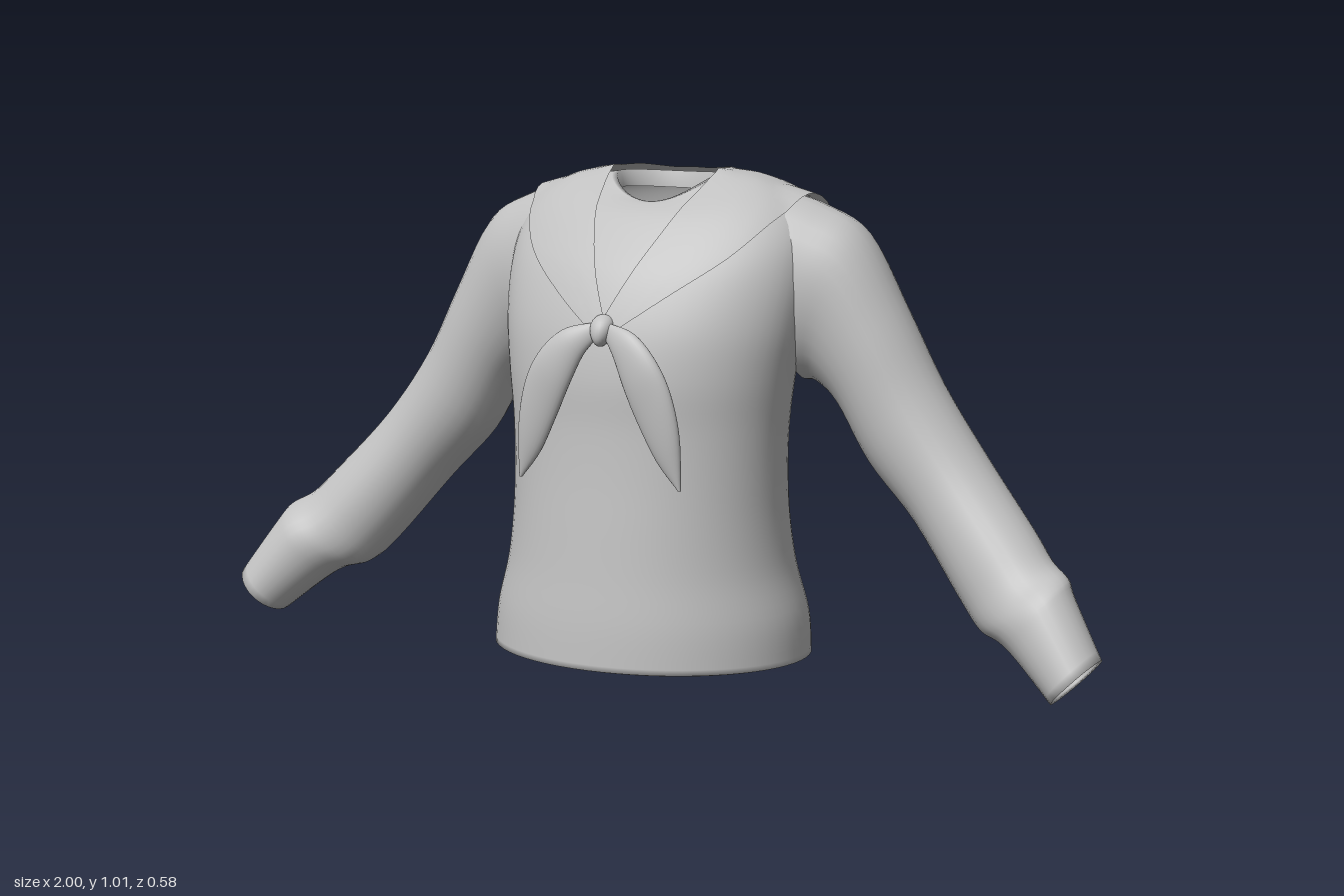
import * as THREE from 'three';

const cloth = new THREE.MeshStandardMaterial({ color: 0xc0c0c0, side: THREE.DoubleSide });
cloth.name = 'greyCloth';

// Smooth interpolation through a list of equal-length number arrays, t in 0..1
function interp(keys, t) {
  const n = keys.length - 1;
  const i = Math.min(Math.floor(t * n), n - 1);
  const f = t * n - i;
  const k = (j) => keys[Math.max(0, Math.min(n, j))];
  return k(i).map((p1, c) => {
    const p0 = k(i - 1)[c], p2 = k(i + 1)[c], p3 = k(i + 2)[c];
    return p1 + 0.5 * f * (p2 - p0 + f * (2 * p0 - 5 * p1 + 4 * p2 - p3 + f * (3 * (p1 - p2) + p3 - p0)));
  });
}

function resample(keys, steps) {
  return Array.from({ length: steps + 1 }, (_, i) => interp(keys, i / steps));
}

// Skin over rows of points; closed rows wrap around
function skin(rows, closed) {
  const w = rows[0].length;
  const index = [];
  for (let r = 0; r < rows.length - 1; r++) {
    for (let c = 0; c < (closed ? w : w - 1); c++) {
      const a = r * w + c, b = r * w + ((c + 1) % w);
      index.push(a, b, a + w, b, b + w, a + w);
    }
  }
  const geo = new THREE.BufferGeometry();
  geo.setAttribute('position', new THREE.Float32BufferAttribute(rows.flat(2), 3));
  geo.setIndex(index);
  geo.computeVertexNormals();
  return geo;
}

function ring(count, fn) {
  return Array.from({ length: count }, (_, i) => {
    const a = (i / count) * Math.PI * 2;
    return fn(Math.sin(a), Math.cos(a));
  });
}

// Torso ring: half width, front z, back z, front y, side y, back y
function torsoRing([hw, zf, zb, yf, ys, yb]) {
  const mid = (zf + zb) / 2, half = (zf - zb) / 2;
  return ring(64, (s, c) => [hw * s, ys + ((c > 0 ? yf : yb) - ys) * c * c, mid + half * c]);
}

// Oval section between two edge points in x,y, with z centre and half depth
function ovalRing([x1, y1, x2, y2, zc, zh]) {
  return ring(28, (s, c) => [(x1 + x2) / 2 + ((x1 - x2) / 2) * c, (y1 + y2) / 2 + ((y1 - y2) / 2) * c, zc + zh * s]);
}

function add(group, name, geo) {
  const mesh = new THREE.Mesh(geo, cloth);
  mesh.name = name;
  group.add(mesh);
  return mesh;
}

// The same part on both sides
function addPair(group, name, rows, closed) {
  add(group, 'left' + name, skin(rows, closed));
  const flipped = rows.map((row) => row.map(([x, y, z]) => [-x, y, z]).reverse());
  add(group, 'right' + name, skin(flipped, closed));
}

export function createModel() {
  const group = new THREE.Group();
  group.name = 'sailorBlouse';

  // Torso from hem to neckline
  const level = (hw, zf, zb, y) => [hw, zf, zb, y, y, y];
  const torsoKeys = [
    level(0.345, 0.29, -0.275, 0.015),
    level(0.338, 0.283, -0.272, 0.1),
    level(0.312, 0.27, -0.25, 0.2),
    level(0.3, 0.258, -0.23, 0.3),
    level(0.298, 0.246, -0.214, 0.4),
    level(0.303, 0.237, -0.205, 0.5),
    level(0.315, 0.233, -0.208, 0.6),
    level(0.33, 0.213, -0.215, 0.7),
    level(0.338, 0.17, -0.218, 0.8),
    [0.33, 0.12, -0.216, 0.87, 0.88, 0.87],
    [0.29, 0.075, -0.205, 0.92, 0.94, 0.93],
    [0.215, 0.042, -0.19, 0.94, 0.982, 0.97],
    [0.115, 0.02, -0.165, 0.945, 1.0, 0.995],
  ];
  const torsoRows = [
    [0.328, 0.272, -0.257, 0.07, 0.07, 0.07],
    [0.335, 0.28, -0.265, 0.012, 0.012, 0.012],
    ...resample(torsoKeys, 60),
    [0.11, 0.015, -0.16, 0.925, 0.965, 0.96],
  ].map(torsoRing);
  const torso = add(group, 'torso', skin(torsoRows, true));

  // Sleeves: upper edge, lower edge, depth
  const sleeveKeys = [
    [0.25, 0.972, 0.28, 0.62, -0.09, 0.125],
    [0.34, 0.945, 0.305, 0.585, -0.095, 0.12],
    [0.435, 0.89, 0.335, 0.58, -0.098, 0.108],
    [0.52, 0.74, 0.385, 0.535, -0.1, 0.102],
    [0.6, 0.59, 0.455, 0.42, -0.102, 0.1],
    [0.7, 0.45, 0.56, 0.31, -0.092, 0.097],
    [0.815, 0.32, 0.675, 0.17, -0.055, 0.096],
    [0.865, 0.265, 0.73, 0.115, -0.03, 0.093],
    [0.908, 0.238, 0.78, 0.1, -0.005, 0.088],
    [0.93, 0.205, 0.825, 0.072, 0.015, 0.08],
    [1.0, 0.095, 0.91, 0.002, 0.05, 0.072],
  ];
  const sleeveRows = [
    ...resample(sleeveKeys, 50),
    [0.99, 0.09, 0.912, 0.012, 0.049, 0.062],
    [0.93, 0.175, 0.85, 0.085, 0.02, 0.062],
  ].map(ovalRing);
  addPair(group, 'Sleeve', sleeveRows, true);

  // Collar: strips from neck edge to outer edge, running front to back
  const collarKeys = [
    [0, 0.725, 0.21, 0.005, 0.715, 0.216, 0.01, 0.705, 0.22, 0.015, 0.69, 0.225],
    [0.045, 0.82, 0.165, 0.07, 0.805, 0.173, 0.095, 0.79, 0.178, 0.12, 0.765, 0.185],
    [0.09, 0.92, 0.085, 0.13, 0.905, 0.095, 0.175, 0.88, 0.1, 0.225, 0.845, 0.11],
    [0.12, 1.005, -0.02, 0.17, 0.985, -0.01, 0.225, 0.965, -0.005, 0.29, 0.925, 0.01],
    [0.12, 1.01, -0.09, 0.18, 1.004, -0.1, 0.25, 0.982, -0.1, 0.31, 0.95, -0.1],
    [0.115, 1.01, -0.125, 0.2, 0.985, -0.165, 0.27, 0.94, -0.2, 0.31, 0.85, -0.2],
    [0.105, 1.01, -0.14, 0.19, 0.97, -0.205, 0.275, 0.85, -0.238, 0.305, 0.635, -0.235],
    [0.09, 1.008, -0.155, 0.165, 0.965, -0.212, 0.245, 0.85, -0.262, 0.27, 0.63, -0.29],
    [0.05, 1.004, -0.167, 0.09, 0.965, -0.212, 0.13, 0.85, -0.262, 0.14, 0.627, -0.283],
    [0, 1.0, -0.17, 0, 0.965, -0.21, 0, 0.85, -0.26, 0, 0.622, -0.272],
  ];
  const steps = 45;
  const caster = new THREE.Raycaster();
  const bodies = [torso, group.getObjectByName('leftSleeve')];
  const collarRows = resample(collarKeys, steps).map((k, row) => {
    const points = [0, 3, 6, 9].map((i) => k.slice(i, i + 3));
    const inFront = row / steps < 0.36;
    return resample(points, 15).map((p) => {
      // Lay each point just outside the cloth below it
      const origin = new THREE.Vector3(p[0] * 0.6, 0.7, -0.07);
      const dir = new THREE.Vector3(...p).sub(origin);
      const dist = dir.length();
      caster.set(origin, dir.normalize());
      const hits = caster.intersectObjects(bodies).map((h) => h.distance + 0.012).filter((d) => Math.abs(d - dist) < 0.07);
      if (!hits.length) return p;
      const outer = Math.max(...hits);
      const d = inFront ? outer : Math.max(dist, outer);
      return origin.addScaledVector(dir, d).toArray();
    });
  });
  addPair(group, 'Collar', collarRows, false);

  // Scarf tails
  const tailKeys = [
    [0.02, 0.715, 0.008, 0.685, 0.225, 0.008],
    [0.08, 0.7, 0.035, 0.65, 0.238, 0.016],
    [0.13, 0.655, 0.065, 0.585, 0.246, 0.019],
    [0.165, 0.59, 0.095, 0.52, 0.245, 0.018],
    [0.184, 0.5, 0.135, 0.445, 0.24, 0.015],
    [0.186, 0.39, 0.18, 0.39, 0.236, 0.004],
  ];
  addPair(group, 'ScarfTail', resample(tailKeys, 24).map(ovalRing), true);

  // Scarf knot, narrower at the bottom
  const knot = new THREE.SphereGeometry(1, 24, 16);
  const pos = knot.attributes.position;
  for (let i = 0; i < pos.count; i++) {
    const y = pos.getY(i);
    const taper = 1 + 0.25 * y;
    pos.setXYZ(i, pos.getX(i) * 0.024 * taper, 0.7 + y * 0.032, 0.222 + pos.getZ(i) * 0.026 - y * 0.008);
  }
  knot.computeVertexNormals();
  add(group, 'scarfKnot', knot);

  return group;
}
